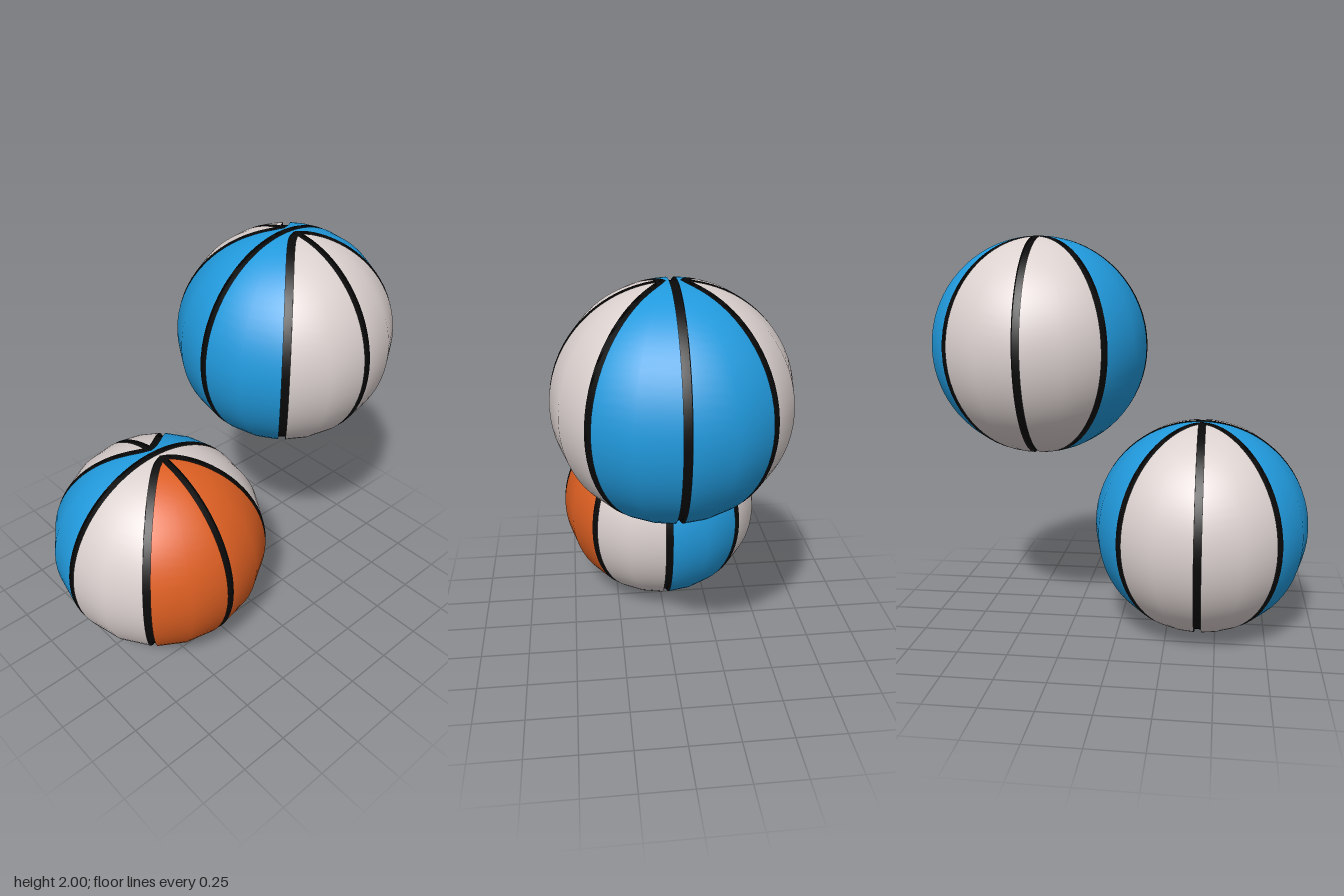
import * as THREE from 'three';

const R = 0.545;      // panel radius
const CORE = 0.53;    // radius at the bottom of the grooves
const W = 0.018;      // half width of a groove
const BEND = 0.055;   // distance at which the diagonal grooves pass the pole
const ROWS = 44, COLS = 2;

const colour = (name, color) => Object.assign(new THREE.MeshStandardMaterial({ color }), { name });

// Azimuth (from z towards x) on a ring where the signed distance to the bent diagonal groove equals d
function diagonalEdge(ring, d) {
  let lo = 0, hi = Math.PI / 2;
  for (let k = 0; k < 40; k++) {
    const az = (lo + hi) / 2;
    const x = ring * Math.sin(az), z = ring * Math.cos(az);
    const h = Math.hypot(z, BEND);
    if ((x - h) / Math.hypot(1, z / h) < d) lo = az; else hi = az;
  }
  return (lo + hi) / 2;
}

// One octant panel from pole to pole, with dark groove walls along both edges
function panelGeometry(sx, sz, isSide) {
  const start = Math.asin((isSide ? Math.hypot(BEND + W, W) : W) / R);
  const pos = [], nor = [], face = [], wall = [];
  const stride = COLS + 3;
  for (let i = 0; i <= ROWS; i++) {
    const t = i / ROWS;
    const eased = 0.3 * t + 0.7 * (1 - Math.cos(Math.PI * t)) / 2;
    const theta = start + (Math.PI - 2 * start) * eased;
    const ring = R * Math.sin(theta);
    const gap = Math.asin(Math.min(1, W / ring));
    let a = gap, b = diagonalEdge(ring, -W);
    if (isSide) {
      b = Math.PI / 2 - gap;
      a = Math.min(diagonalEdge(ring, W), b);
    }
    b = Math.max(a, b);
    for (let j = 0; j < stride; j++) {
      const u = THREE.MathUtils.clamp((j - 1) / COLS, 0, 1);
      const az = a + (b - a) * u;
      const r = j === 0 || j === stride - 1 ? CORE - 0.004 : R;
      const n = [sx * Math.sin(theta) * Math.sin(az), Math.cos(theta), sz * Math.sin(theta) * Math.cos(az)];
      nor.push(...n);
      pos.push(n[0] * r, n[1] * r, n[2] * r);
    }
  }
  for (let i = 0; i < ROWS; i++) {
    for (let j = 0; j < stride - 1; j++) {
      const p = i * stride + j, q = p + stride;
      const list = j === 0 || j === stride - 2 ? wall : face;
      if (sx * sz > 0) list.push(p, q, q + 1, p, q + 1, p + 1);
      else list.push(p, q + 1, q, p, p + 1, q + 1);
    }
  }
  const g = new THREE.BufferGeometry();
  g.setAttribute('position', new THREE.Float32BufferAttribute(pos, 3));
  g.setAttribute('normal', new THREE.Float32BufferAttribute(nor, 3));
  g.setIndex([...face, ...wall]);
  g.addGroup(0, face.length, 0);
  g.addGroup(face.length, wall.length, 1);
  return g;
}

export function createModel() {
  const blue = colour('blue', 0x219add);
  const white = colour('warm white', 0xdbd1cf);
  const orange = colour('orange', 0xdd5f22);
  const black = colour('black', 0x0a0a0a);

  // A ball: dark core plus eight raised panels
  function makeBall(name, look) {
    const ball = new THREE.Group();
    ball.name = name;
    const core = new THREE.Mesh(new THREE.SphereGeometry(CORE, 64, 40), black);
    core.name = 'grooveCore';
    ball.add(core);
    for (const sx of [-1, 1]) for (const sz of [-1, 1]) for (const isSide of [false, true]) {
      const left = sx > 0;
      const mat = isSide ? (left ? look.leftSide : look.rightSide) : (left ? look.leftFace : look.rightFace);
      const panel = new THREE.Mesh(panelGeometry(sx, sz, isSide), [mat, black]);
      panel.name = `${left ? 'left' : 'right'}${sz > 0 ? 'Front' : 'Back'}${isSide ? 'Side' : 'Face'}Panel`;
      ball.add(panel);
    }
    return ball;
  }

  const lower = makeBall('lowerBall', { leftFace: white, rightFace: blue, leftSide: orange, rightSide: white });
  lower.position.set(-0.012, 0.543, 0.415);
  const upper = makeBall('upperBall', { leftFace: blue, rightFace: blue, leftSide: white, rightSide: white });
  upper.position.set(0.012, 1.457, -0.415);

  const model = new THREE.Group();
  model.name = 'pairOfBalls';
  model.add(lower, upper);
  return model;
}
